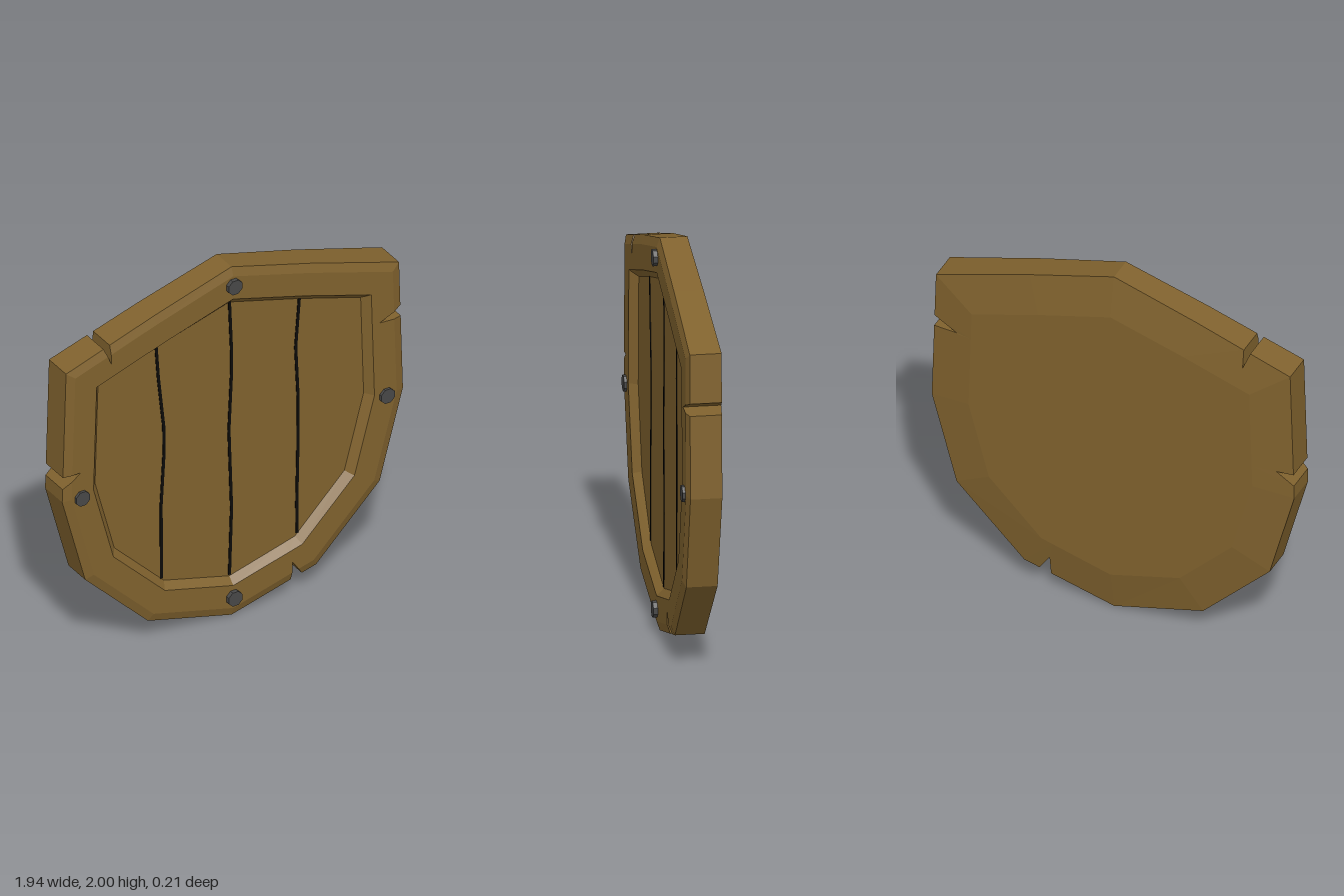
import * as THREE from 'three';

const wood = new THREE.MeshStandardMaterial({ color: 0x80622e });
wood.name = 'wood';
const iron = new THREE.MeshStandardMaterial({ color: 0x484848 });
iron.name = 'iron';
const gap = new THREE.MeshStandardMaterial({ color: 0x0c0b09 });
gap.name = 'plankGap';

const V = (x, y) => new THREE.Vector2(x, y);

// Shield outline, counter-clockwise from the top point
const outline = [
  [0, 2], [-0.45, 1.87], [-0.95, 1.71], [-0.972, 0.98], [-0.84, 0.49], [-0.48, 0.13],
  [0, 0], [0.48, 0.13], [0.84, 0.49], [0.972, 0.98], [0.95, 1.71], [0.45, 1.87],
].map(([x, y]) => V(x, y));

// Battle notches: edge index, start and end along the edge, tip
const notches = [
  { edge: 1, a: 0.5, b: 0.57, tip: V(-0.7, 1.69) },
  { edge: 2, a: 0.81, b: 0.9, tip: V(-0.87, 1.13) },
  { edge: 6, a: 0.7, b: 0.83, tip: V(0.335, 0.2) },
  { edge: 9, a: 0.575, b: 0.66, tip: V(0.83, 1.407) },
];

// Mitred inset of the outline
function inset(d) {
  const n = outline.length;
  return outline.map((p, i) => {
    const e1 = p.clone().sub(outline[(i + n - 1) % n]).normalize();
    const e2 = outline[(i + 1) % n].clone().sub(p).normalize();
    const n1 = V(-e1.y, e1.x), n2 = V(-e2.y, e2.x);
    const m = n1.clone().add(n2).normalize();
    return p.clone().addScaledVector(m, d / m.dot(n1));
  });
}

const BEVEL = 0.045, BACK = 0.21;

// One ring of the body. Outer rings follow the notches, inner rings pass behind them
function ring(d, zAt, followsNotch, tipZ = zAt) {
  const base = inset(d), pts = [];
  const add = (p, z) => pts.push(new THREE.Vector3(p.x, p.y, z));
  base.forEach((p, i) => {
    add(p, zAt(p));
    const notch = notches.find((k) => k.edge === i);
    if (!notch) return;
    const o0 = outline[i], o1 = outline[(i + 1) % outline.length];
    const q = base[(i + 1) % base.length];
    const dir = o1.clone().sub(o0).normalize();
    const depth = V(-dir.y, dir.x).dot(notch.tip.clone().sub(o0));
    if (followsNotch) {
      const lip = (t) => o0.clone().lerp(o1, t).lerp(notch.tip, d / depth);
      const a = lip(notch.a), b = lip(notch.b);
      add(a, zAt(a));
      add(notch.tip, tipZ(notch.tip, depth));
      add(b, zAt(b));
    } else {
      const s = q.clone().sub(p);
      const t = notch.tip.clone().sub(p).dot(s) / s.lengthSq();
      const c = p.clone().lerp(q, t);
      for (let k = 0; k < 3; k++) add(c, zAt(c));
    }
  });
  return pts;
}

// Lofts the rings from back to front and closes both ends, flat shaded
function loft(rings) {
  const out = [];
  const tri = (a, b, c) => {
    const area = new THREE.Triangle(a, b, c).getArea();
    if (area > 1e-7) for (const p of [a, b, c]) out.push(p.x, p.y, p.z);
  };
  const n = rings[0].length, last = rings.length - 1;
  const mid = (r) => new THREE.Vector3(0, 1, r[0].z);
  for (let i = 0; i < n; i++) {
    const j = (i + 1) % n;
    for (let k = 0; k < last; k++) {
      const A = rings[k], B = rings[k + 1];
      tri(A[i], A[j], B[j]);
      tri(A[i], B[j], B[i]);
    }
    tri(mid(rings[0]), rings[0][j], rings[0][i]);
    tri(mid(rings[last]), rings[last][i], rings[last][j]);
  }
  const g = new THREE.BufferGeometry();
  g.setAttribute('position', new THREE.Float32BufferAttribute(out, 3));
  g.computeVertexNormals();
  return g;
}

// Narrow strip following a crooked seam between two planks
function seam(points, halfWidth, z) {
  const s = new THREE.Shape();
  points.forEach(([x, y], i) => (i ? s.lineTo(x - halfWidth, y) : s.moveTo(x - halfWidth, y)));
  [...points].reverse().forEach(([x, y]) => s.lineTo(x + halfWidth, y));
  const g = new THREE.ExtrudeGeometry(s, { depth: 0.004, bevelEnabled: false });
  return g.translate(0, 0, z);
}

export function createModel() {
  const group = new THREE.Group();
  const add = (name, geometry, material) => {
    const m = new THREE.Mesh(geometry, material);
    m.name = name;
    group.add(m);
    return m;
  };

  // Body: back plate, side wall, bevelled rim and recessed panel
  const backEdge = (p) => -0.065 - 0.012 * Math.abs(p.x);
  const frontEdge = (p) => 0.07 + 0.01 * Math.abs(p.x);
  const rimFace = (p) => 0.086 + 0.009 * Math.abs(p.x);
  const backTip = (p, depth) => THREE.MathUtils.lerp(backEdge(p), -0.106, depth / BACK);
  const panelZ = 0.05;
  add('shieldBody', loft([
    ring(BACK, () => -0.106, false),
    ring(0, backEdge, true, backTip),
    ring(0, frontEdge, true, rimFace),
    ring(BEVEL, rimFace, true),
    ring(0.17, rimFace, false),
    ring(0.205, () => panelZ, false),
  ]), wood);

  // Seams between the planks
  const seams = [
    [[-0.42, 1.69], [-0.405, 1.48], [-0.375, 1.2], [-0.373, 1.05], [-0.39, 0.75], [-0.388, 0.33]],
    [[0, 1.79], [0.012, 1.5], [0.012, 1.38], [-0.003, 1.05], [0.012, 0.6], [0, 0.22]],
    [[0.4, 1.69], [0.378, 1.4], [0.392, 1.1], [0.39, 0.8], [0.384, 0.5], [0.386, 0.33]],
  ];
  seams.forEach((p, i) => add(`plankSeam${i + 1}`, seam(p, 0.008, panelZ - 0.001), gap));

  // Rivets around the rim
  const rivet = new THREE.CylinderGeometry(0.042, 0.042, 0.05, 8).toNonIndexed();
  rivet.rotateX(Math.PI / 2).rotateZ(Math.PI / 8);
  rivet.computeVertexNormals();
  [[0, 1.9], [-0.87, 0.98], [0.87, 0.98], [0, 0.11]].forEach(([x, y], i) =>
    add(`rivet${i + 1}`, rivet, iron).position.set(x, y, 0.083));

  return group;
}
